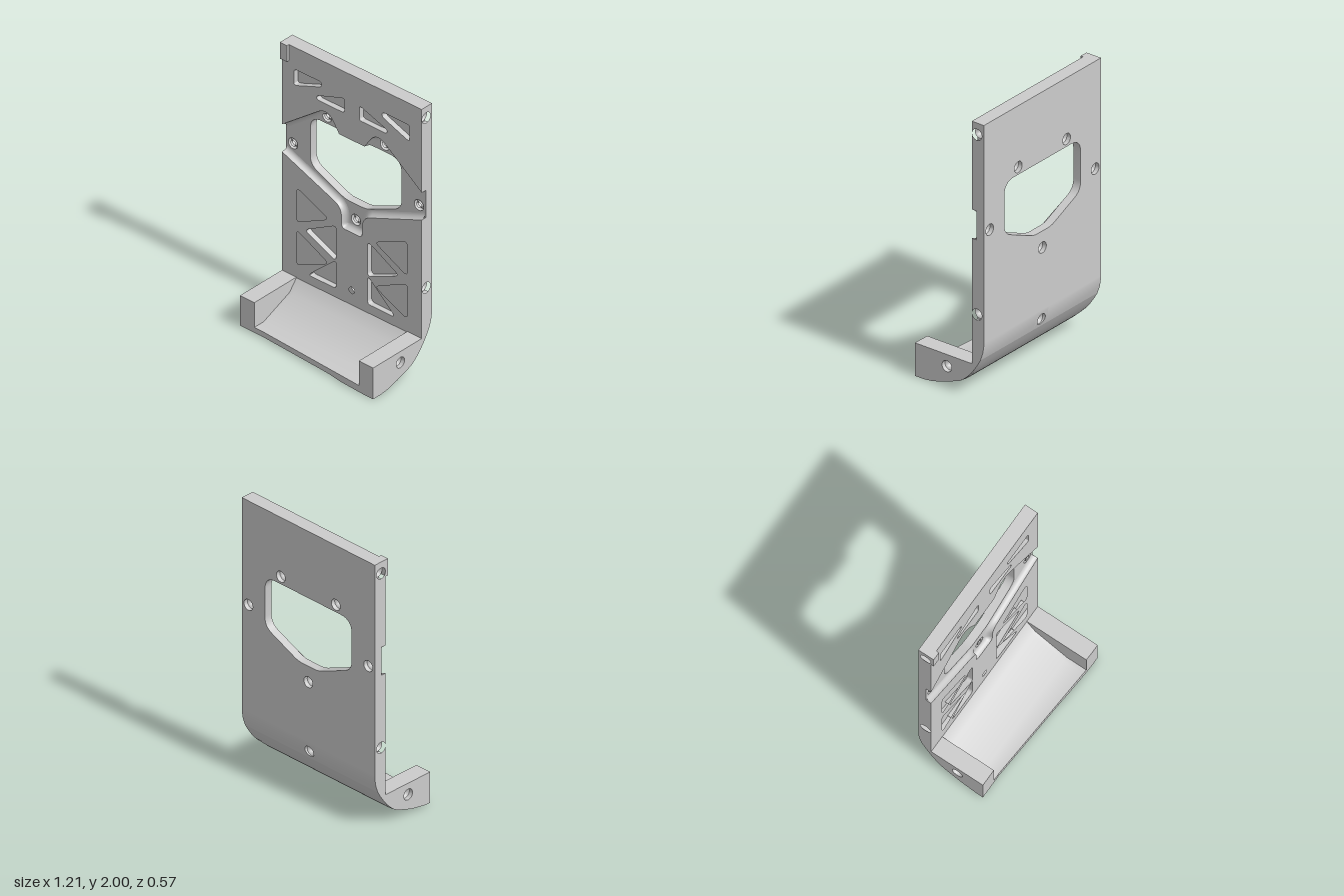
import * as THREE from 'three';
import { toCreasedNormals } from 'three/addons/utils/BufferGeometryUtils.js';

const W = 0.605, IN = 0.545, BACK = -0.285, MID = -0.225, FRONT = -0.185;
const V = (x, y) => new THREE.Vector2(x, y);
const grey = new THREE.MeshStandardMaterial({ color: 0xcccccc });
const greyThin = new THREE.MeshStandardMaterial({ color: 0xcccccc, side: THREE.DoubleSide });

// Turns corners [x, y, rounding] into a point list with rounded corners
function rounded(corners) {
  const n = corners.length, out = [];
  corners.forEach(([x, y, r], i) => {
    const c = V(x, y);
    if (!r) { out.push(c); return; }
    const toward = ([px, py]) => V(px, py).sub(c).setLength(r).add(c);
    const a = toward(corners[(i + n - 1) % n]), b = toward(corners[(i + 1) % n]);
    out.push(...new THREE.QuadraticBezierCurve(a, c, b).getPoints(8));
  });
  return out;
}
const mirrored = corners => corners.map(([x, y, r]) => [-x, y, r]).reverse();
const circle = (x, y, r) => new THREE.Path().absarc(x, y, r, 0, Math.PI * 2, true);

// Plate layer extruded along z
function layer(points, holes, z0, z1) {
  const s = new THREE.Shape(points);
  s.holes = holes;
  const g = new THREE.ExtrudeGeometry(s, { depth: z1 - z0, bevelEnabled: false, curveSegments: 16 });
  return g.translate(0, 0, z0);
}
// Side profile [z, y] extruded along x
function across(profile, x0, x1, hole, steps = 1) {
  const s = new THREE.Shape(profile.map(([z, y]) => V(-z, y)));
  if (hole) s.holes.push(circle(-hole[0], hole[1], 0.04));
  const g = new THREE.ExtrudeGeometry(s, { depth: x1 - x0, bevelEnabled: false, steps, curveSegments: 16 });
  return g.rotateY(Math.PI / 2).translate(x0, 0, 0);
}

// Underside curve [z, y], from the front lip round to the back
const HULL = [[0.28, 0], [0.21, 0], [0.14, 0.003], [0.05, 0.022], [-0.02, 0.044], [-0.08, 0.07], [-0.11, 0.092],
  [-0.14, 0.12], [-0.17, 0.154], [-0.2, 0.195], [-0.23, 0.24], [-0.256, 0.285], [-0.275, 0.34], [BACK, 0.4]];
function interp(v, from, to) {
  for (let i = 1; i < HULL.length; i++) {
    const a = HULL[i - 1], b = HULL[i];
    if ((v - a[from]) * (v - b[from]) <= 0 && a[from] !== b[from])
      return a[to] + (b[to] - a[to]) * (v - a[from]) / (b[from] - a[from]);
  }
  return HULL[v > 0.2 && from === 1 ? HULL.length - 1 : 0][to];
}

// Slants the front edge and lifts the underside near the sides
function shapeTray(g) {
  const p = g.attributes.position;
  for (let i = 0; i < p.count; i++) {
    const x = p.getX(i), z = p.getZ(i);
    let y = p.getY(i);
    if (y < 0.2 && y < interp(z, 0, 1) + 0.004) {
      if (Math.abs(x) > W - 0.005) y += 0.016 * Math.max(0, 1 - Math.abs(z) / 0.2);
      if (z > 0.1) y += 0.01 * (1 - THREE.MathUtils.smoothstep(x, 0.18, 0.32));
    }
    const edge = Math.min(0.283, 0.22 + 0.067 * Math.max(0, x + 0.42));
    p.setXYZ(i, x, y, z > 0.13 ? 0.13 + (z - 0.13) * (edge - 0.13) / 0.15 : z);
  }
  return g;
}

// Hollow quarter-round strip along the foot of a recess wall
function filletStrip(path, sign, minY) {
  const h = MID - FRONT, pos = [], idx = [], K = 6;
  path.forEach((c, i) => {
    const d = path[Math.min(i + 1, path.length - 1)].clone().sub(path[Math.max(i - 1, 0)]).normalize();
    for (let k = 0; k <= K; k++) {
      const t = k / K * Math.PI / 2, o = 0.034 * (1 - Math.cos(t));
      const x = THREE.MathUtils.clamp(c.x - sign * d.y * o, -W, W);
      const y = Math.max(minY, c.y + sign * d.x * o);
      pos.push(x, y, MID - h * (1 - Math.sin(t)));
      if (i && k) {
        const b = i * (K + 1) + k, a = b - K - 1;
        idx.push(a - 1, b - 1, a, a, b - 1, b);
      }
    }
  });
  const g = new THREE.BufferGeometry();
  g.setAttribute('position', new THREE.Float32BufferAttribute(pos, 3));
  g.setIndex(idx);
  g.computeVertexNormals();
  return g;
}

export function createModel() {
  const model = new THREE.Group();
  const add = (name, g, mat = grey) => {
    const m = new THREE.Mesh(mat === grey ? toCreasedNormals(g, 0.5) : g, mat);
    m.name = name;
    model.add(m);
    return m;
  };

  // Edges of the recess across the plate
  const peak = [[-W, 1.36, 0], [-0.213, 1.654, 0.1], [-0.11, 1.5, 0]];
  const upLeft = rounded(peak), upRight = rounded(mirrored(peak));
  const neck = [[-W, 1.15, 0], [-0.09, 0.945, 0.07], [-0.09, 0.79, 0.035]];
  const lowEdge = rounded([...neck, ...mirrored(neck)]);

  // Outline steps that leave room for the side screw blocks
  const topRight = [[W, 1.84], [IN, 1.84], [IN, 2]];
  const lowRight = [[W, 0.68], [IN, 0.68], [IN, 0.54], [W, 0.54]];
  const pts = list => list.map(([x, y]) => V(x, y));

  // Lightening pockets, mirrored left to right
  const pocketCorners = [
    [[-0.5, 1.832, 0.025], [-0.262, 1.832, 0.02], [-0.262, 1.795, 0.02], [-0.48, 1.712, 0.02], [-0.5, 1.712, 0.012]],
    [[-0.065, 1.795, 0.025], [-0.065, 1.682, 0.02], [-0.305, 1.682, 0.02], [-0.305, 1.712, 0.02]],
    [[-0.48, 0.93, 0.04], [-0.2, 0.805, 0.04], [-0.48, 0.665, 0.04]],
    [[-0.135, 0.785, 0.04], [-0.41, 0.635, 0.04], [-0.135, 0.51, 0.04]],
    [[-0.48, 0.605, 0.04], [-0.2, 0.465, 0.04], [-0.48, 0.335, 0.04]],
    [[-0.135, 0.52, 0.04], [-0.38, 0.302, 0.04], [-0.135, 0.302, 0.03]]];
  const pockets = pocketCorners.map(c => [new THREE.Path(rounded(c)), new THREE.Path(rounded(mirrored(c)))]);

  // Front skin above and below the recess
  add('upperFrontSkin', layer([...upLeft, ...upRight, ...pts(topRight), ...pts(mirrored(topRight))],
    pockets.slice(0, 2).flat(), MID, FRONT));
  add('lowerFrontSkin', layer([...lowEdge, ...pts(lowRight), V(W, 0.285), V(-W, 0.285), ...pts(mirrored(lowRight))],
    [...pockets.slice(2).flat(), circle(0, 0.347, 0.024)], MID, FRONT));
  add('upperLeftFillet', filletStrip(upRight, -1, 1.2), greyThin).geometry.computeBoundingSphere();
  add('upperRightFillet', filletStrip(upLeft, -1, 1.2), greyThin);
  add('lowerFillet', filletStrip(lowEdge, 1, 0), greyThin);
  for (const m of model.children.slice(2, 4)) {
    // Keep the fillet ends flush with the window's top edge
    const p = m.geometry.attributes.position;
    for (let i = 0; i < p.count; i++) if (Math.abs(p.getX(i)) < 0.3) p.setY(i, Math.max(1.5, p.getY(i)));
  }

  // Back plate with the window and screw holes
  const half = [[0.395, 1.5, 0.1], [0.395, 1.125, 0.07], [0.09, 0.99, 0.04]];
  const windowHole = new THREE.Path(rounded([...half, ...mirrored(half)]));
  const screws = [[-0.25, 1.555], [0.25, 1.555], [-0.545, 1.22], [0.545, 1.22], [0, 0.87]];
  const rightSide = [[W, 0.42], ...lowRight.slice().reverse(), ...topRight];
  add('backPlate', layer(pts([...rightSide, ...mirrored(rightSide)]),
    [windowHole, ...screws.map(([x, y]) => circle(x, y, 0.04))], BACK, MID));

  // Lower back, where the plate starts to curve, with its own screw hole
  const bend = [...HULL.slice(-3), [BACK, 0.42], [MID, 0.42], [MID, 0.285]];
  add('rightBend', across(bend, -W, -0.06));
  add('leftBend', across(bend, 0.06, W));
  const bendSide = [[0.06, 0.285], [0.06, 0.34], [0.06, 0.4], [0.06, 0.42]];
  const middle = layer(pts([...bendSide, ...mirrored(bendSide)]), [circle(0, 0.347, 0.04)], BACK, MID);
  const mp = middle.attributes.position;
  for (let i = 0; i < mp.count; i++) if (mp.getZ(i) < -0.26) mp.setZ(i, interp(mp.getY(i), 1, 0));
  middle.computeVertexNormals();
  add('middleBend', middle);

  // Stepped seats inside the screw holes
  const seat = () => new THREE.LatheGeometry([V(0.04, 0.03), V(0.022, 0.04), V(0.022, 0.06)], 24);
  for (const [x, y] of [...screws, [0, 0.347]])
    add('backScrewSeat', seat().rotateX(Math.PI / 2).translate(x, y, BACK), greyThin);

  // Tray: curved floor between two side walls
  const wall = [...HULL.slice(0, -2), [FRONT, 0.285], [FRONT, 0.24], [0.13, 0.24], [0.28, 0.24]];
  const floor = [...HULL.slice(0, -2), [FRONT, 0.285], [FRONT, 0.235], [-0.12, 0.155], [0.13, 0.05], [0.28, 0.05]];
  add('trayFloor', shapeTray(across(floor, -0.48, 0.48, null, 32)));
  for (const s of [-1, 1]) {
    const span = (a, b) => s > 0 ? [a, b] : [-b, -a];
    add('trayWallInner', shapeTray(across(wall, ...span(0.48, IN))));
    add('trayWallOuter', shapeTray(across(wall, ...span(IN, W), [0.02, 0.155])));
    // Side screw blocks and their seats
    for (const [y0, y1, y] of [[1.84, 2, 1.915], [0.54, 0.68, 0.61]])
      add('sideScrewBlock', across([[BACK, y0], [FRONT, y0], [FRONT, y1], [BACK, y1]], ...span(IN, W), [-0.228, y]));
    for (const [z, y] of [[-0.228, 1.915], [-0.228, 0.61], [0.02, 0.155]])
      add('sideScrewSeat', seat().rotateZ(s * Math.PI / 2).translate(s * W, y, z), greyThin);
  }

  // Small raised tab on the top corner
  add('cornerTab', new THREE.BoxGeometry(0.06, 0.125, 0.02).translate(-0.575, 1.9375, FRONT + 0.01));
  return model;
}
